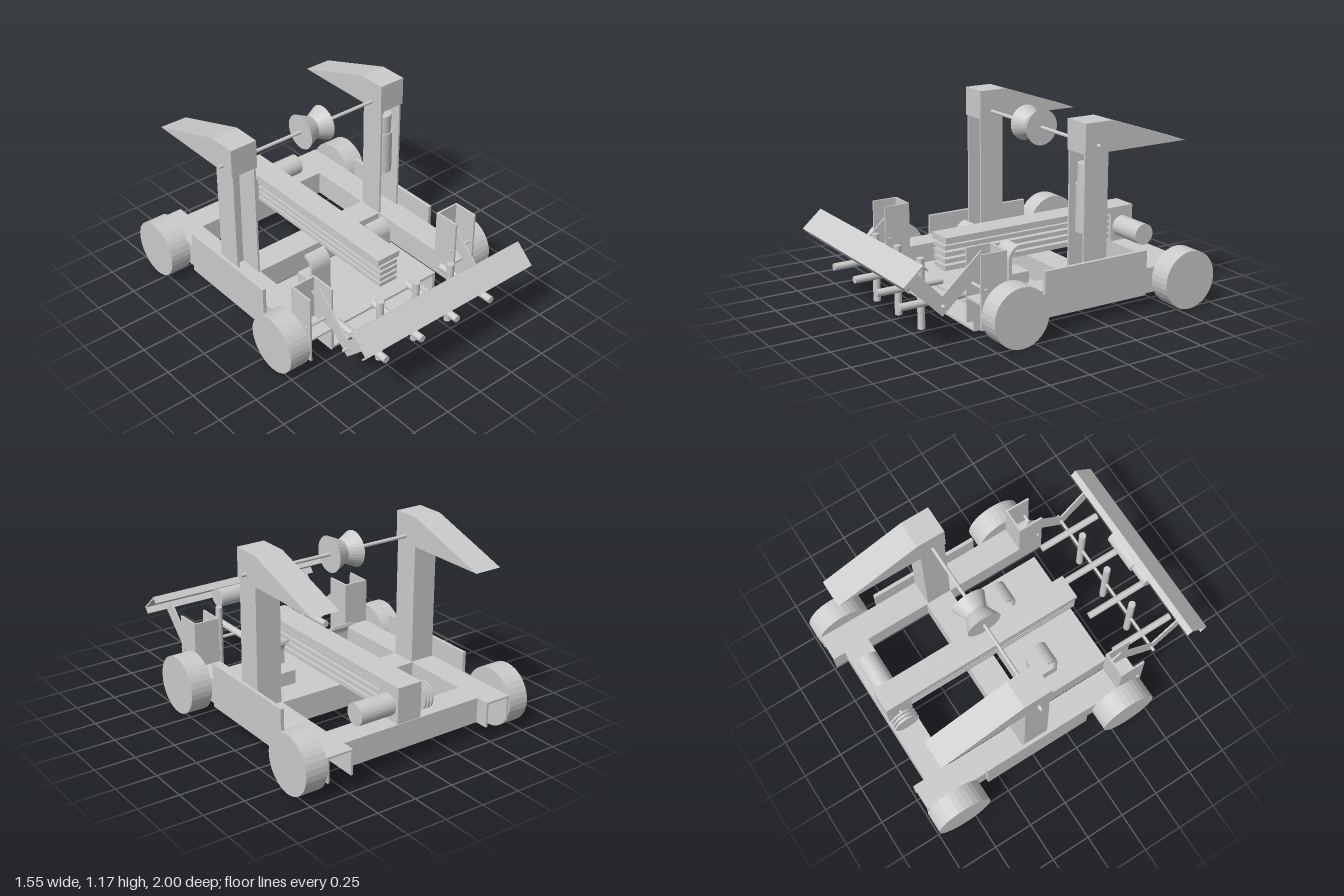
import * as THREE from 'three';

const mat = new THREE.MeshStandardMaterial({ color: 0xcccccc, flatShading: true, side: THREE.DoubleSide });

export function createModel() {
  const model = new THREE.Group();
  model.name = 'wheeledRobot';

  const add = (name, geo, x = 0, y = 0, z = 0, parent = model) => {
    const m = new THREE.Mesh(geo, mat);
    m.name = name;
    m.position.set(x, y, z);
    parent.add(m);
    return m;
  };
  // Box from its limits on each axis
  const box = (name, x0, x1, y0, y1, z0, z1, parent) =>
    add(name, new THREE.BoxGeometry(Math.abs(x1 - x0), y1 - y0, z1 - z0),
      (x0 + x1) / 2, (y0 + y1) / 2, (z0 + z1) / 2, parent);
  // Cylinder along x, y or z, between a and b on that axis
  const rod = (name, axis, r, a, b, c, d, n = 16, r2 = r) => {
    const g = new THREE.CylinderGeometry(r2, r, b - a, n);
    const m = (a + b) / 2;
    if (axis === 'x') return add(name, g.rotateZ(-Math.PI / 2), m, c, d);
    if (axis === 'y') return add(name, g, c, m, d);
    return add(name, g.rotateX(Math.PI / 2), c, d, m);
  };
  // Side profile of [z, y] points, extruded along x about xc
  const profile = (name, pts, xc, width) => {
    const shape = new THREE.Shape(pts.map(p => new THREE.Vector2(...p)));
    const g = new THREE.ExtrudeGeometry(shape, { depth: width, bevelEnabled: false });
    g.translate(0, 0, -width / 2).rotateY(-Math.PI / 2);
    return add(name, g, xc);
  };
  const T = 0.012; // sheet thickness

  for (const s of [1, -1]) {
    // Wheels and axles
    for (const z of [0.355, -0.82]) {
      const a = s > 0 ? 0.64 : -0.775;
      rod('wheel', 'x', 0.178, a, a + 0.135, 0.178, z, 32);
      rod('wheelAxle', 'x', 0.015, s > 0 ? 0.47 : -0.65, s > 0 ? 0.65 : -0.47, 0.178, z, 12);
    }
    // Side rail: channel open downwards
    const rail = new THREE.Group();
    rail.name = 'sideRail';
    model.add(rail);
    box('railTop', s * 0.47, s * 0.635, 0.25 - T, 0.25, -0.99, 0.53, rail);
    box('railInnerWall', s * 0.47, s * (0.47 + T), 0.095, 0.25, -0.99, 0.53, rail);
    box('railOuterWall', s * (0.635 - T), s * 0.635, 0.095, 0.25, -0.99, 0.53, rail);
    // Side panel
    box('sidePanel', s * 0.636, s * 0.658, 0.095, 0.37, -0.585, 0.128);
    // Front post: channel open to the front
    const post = new THREE.Group();
    post.name = 'frontPost';
    model.add(post);
    box('postBack', s * 0.47, s * 0.635, 0.25, 0.53, 0.365, 0.365 + T, post);
    box('postInnerWall', s * 0.47, s * (0.47 + T), 0.25, 0.53, 0.365, 0.53, post);
    box('postOuterWall', s * (0.635 - T), s * 0.635, 0.25, 0.53, 0.365, 0.53, post);
    rod('armPivot', 'x', 0.01, s > 0 ? 0.46 : -0.645, s > 0 ? 0.645 : -0.46, 0.325, 0.5, 10);
    // Tower: channel open to the front, with a tapering cap
    const tower = new THREE.Group();
    tower.name = 'tower';
    model.add(tower);
    box('towerBack', s * 0.472, s * 0.63, 0.25, 1, -0.31, -0.31 + T, tower);
    box('towerInnerWall', s * 0.472, s * (0.472 + T), 0.25, 1, -0.31, -0.15, tower);
    box('towerOuterWall', s * (0.63 - T), s * 0.63, 0.25, 1, -0.31, -0.15, tower);
    profile('towerCap', [[-0.145, 0.99], [-0.145, 1.168], [-0.325, 1.168], [-0.855, 0.99]], s * 0.552, 0.175);
    // Bent bumper arm
    profile('bumperArm', [[0.7, 0.175], [0.94, 0.41], [0.88, 0.475], [0.7, 0.29],
      [0.45, 0.51], [0.385, 0.45]], s * 0.505, 0.01);
    // Curved chute on top of the hopper
    const xc = s * 0.235;
    box('chuteBase', xc - 0.07, xc + 0.07, 0.15, 0.25, 0, 0.14);
    const arc = r => Array.from({ length: 9 }, (_, i) => {
      const t = (i / 8) * 1.4;
      return [0.055 + r * Math.cos(t), 0.335 + r * Math.sin(t)];
    });
    profile('chuteHood', [[0.14, 0.25], ...arc(0.085), ...arc(0.065).reverse(), [0.12, 0.25]], xc, 0.14);
  }

  // Cross beams: channels open downwards
  for (const [z0, z1] of [[-0.91, -0.745], [-0.32, -0.15]]) {
    const beam = new THREE.Group();
    beam.name = 'crossBeam';
    model.add(beam);
    box('beamTop', -0.47, 0.47, 0.25 - T, 0.25, z0, z1, beam);
    box('beamRearWall', -0.47, 0.47, 0.095, 0.25, z0, z0 + T, beam);
    box('beamFrontWall', -0.47, 0.47, 0.095, 0.25, z1 - T, z1, beam);
  }

  // Hopper, open at the front
  const hopper = new THREE.Group();
  hopper.name = 'hopper';
  model.add(hopper);
  box('hopperFloor', -0.41, 0.41, 0, 0.015, -0.085, 0.44, hopper);
  box('hopperTop', -0.41, 0.41, 0.14, 0.155, -0.085, 0.44, hopper);
  box('hopperBack', -0.41, 0.41, 0.015, 0.14, -0.085, -0.065, hopper);
  for (const s of [1, -1]) box('hopperSide', s * 0.41, s * 0.39, 0.015, 0.14, -0.085, 0.44, hopper);

  // Central slide: top bar, stacked rails and rear support
  box('slideTopBar', -0.055, 0.105, 0.43, 0.468, -0.905, 0.44);
  for (let i = 0; i < 4; i++) {
    const y = 0.27 + i * 0.04;
    box('slideRail', -0.04, 0.09, y, y + 0.026, -0.735, 0.44);
  }
  box('slideCore', 0, 0.05, 0.25, 0.43, -0.735, 0.42);
  box('slideSupport', -0.055, 0.105, 0.25, 0.43, -0.905, -0.74);

  // Rear motor and winding pulley
  rod('rearMotor', 'x', 0.066, 0.105, 0.335, 0.342, -0.82, 24);
  rod('pulleyShaft', 'x', 0.012, -0.14, 0, 0.335, -0.82, 12);
  rod('pulleyDrum', 'x', 0.055, -0.14, -0.09, 0.335, -0.825, 24);
  for (const x of [-0.145, -0.122, -0.099]) rod('pulleyFlange', 'x', 0.08, x, x + 0.01, 0.335, -0.825, 24);

  // Top shaft with a waisted spool
  rod('topShaft', 'x', 0.011, -0.67, 0.67, 1.033, -0.23, 12);
  const spool = new THREE.LatheGeometry(
    [[0, -0.085], [0.108, -0.085], [0.068, 0], [0.108, 0.085], [0, 0.085]].map(p => new THREE.Vector2(...p)), 28);
  add('spool', spool.rotateZ(Math.PI / 2), 0, 1.033, -0.23);

  // Actuator inside the left tower
  rod('actuatorBody', 'y', 0.064, 0.52, 0.8, 0.548, -0.225, 24);
  rod('actuatorHead', 'y', 0.056, 0.8, 0.92, 0.548, -0.225, 24);
  rod('actuatorRod', 'y', 0.011, 0.92, 1, 0.548, -0.225, 10);

  // Bumper channel, tilted forwards and open to the rear
  profile('bumper', [[0.848, 0.502], [0.88, 0.535], [1, 0.43], [0.966, 0.392],
    [0.959, 0.398], [0.985, 0.43], [0.88, 0.521], [0.855, 0.496]], 0, 1.26);
  rod('bumperMotor', 'x', 0.064, -0.07, 0.17, 0.425, 0.885, 24);
  rod('bumperMotorHead', 'x', 0.05, -0.2, -0.07, 0.425, 0.885, 24);

  // Fingers on the front intake shaft
  rod('intakeShaft', 'x', 0.01, -0.54, 0.54, 0.235, 0.7, 12);
  for (const x of [-0.27, 0, 0.27]) rod('uprightFinger', 'y', 0.022, 0.027, 0.443, x, 0.7);
  for (const x of [-0.405, -0.135, 0.135, 0.405]) rod('levelFinger', 'z', 0.022, 0.49, 0.91, x, 0.235);

  return model;
}
